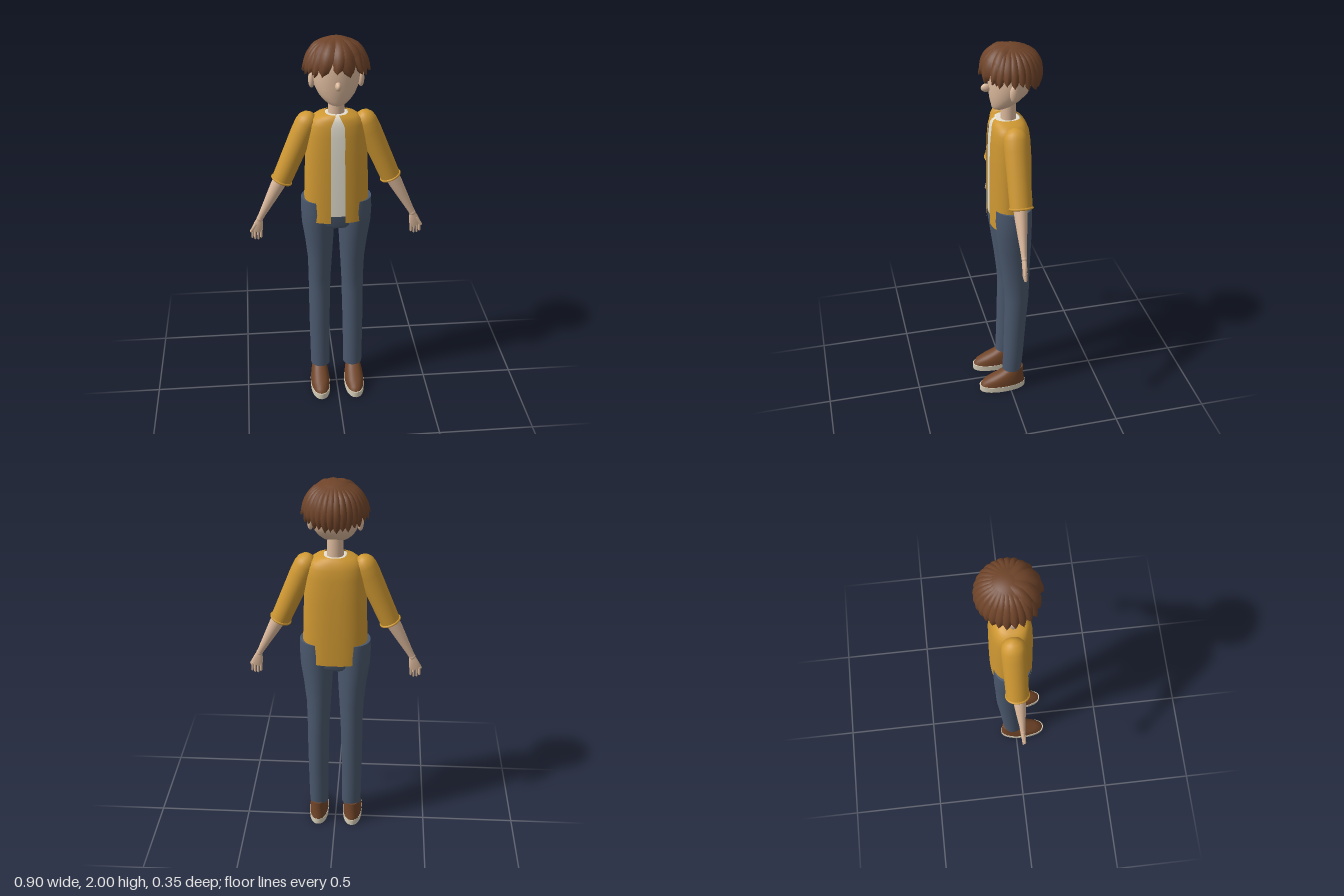
import * as THREE from 'three';

const mat = (name, color, side = THREE.FrontSide) => {
  const m = new THREE.MeshStandardMaterial({ color, side });
  m.name = name;
  return m;
};

// Skin over stacked oval rings [y, rx, centreZ, rz, centreX, halfGap]; a halfGap leaves the front open
function loft(rings, { seg = 32, pow = 2, open = false, capLow = true, capHigh = true } = {}) {
  const pos = [], idx = [], cols = open ? seg + 1 : seg;
  const bend = (v) => Math.sign(v) * Math.abs(v) ** (2 / pow);
  const point = (r, j) => {
    const [y, rx, cz, rz, cx = 0, gap = 0] = r;
    const a0 = open ? Math.asin((gap / rx) ** (pow / 2)) : 0;
    const a = a0 + (j / seg) * (Math.PI * 2 - 2 * a0);
    return [cx + rx * bend(Math.sin(a)), y, cz + rz * bend(Math.cos(a))];
  };
  rings.forEach((r) => { for (let j = 0; j < cols; j++) pos.push(...point(r, j)); });
  for (let i = 0; i < rings.length - 1; i++) for (let j = 0; j < seg; j++) {
    const k = (j + 1) % cols, a = i * cols + j, b = i * cols + k, c = a + cols, d = b + cols;
    idx.push(a, b, d, a, d, c);
  }
  const cap = (r, up) => {
    const m = pos.length / 3;
    pos.push(r[4] || 0, r[0], r[2]);
    for (let j = 0; j < seg; j++) pos.push(...point(r, j));
    for (let j = 0; j < seg; j++) {
      const a = m + 1 + j, b = m + 1 + (j + 1) % seg;
      idx.push(m, up ? a : b, up ? b : a);
    }
  };
  if (!open && capLow) cap(rings[0], false);
  if (!open && capHigh) cap(rings[rings.length - 1], true);
  const g = new THREE.BufferGeometry();
  g.setAttribute('position', new THREE.Float32BufferAttribute(pos, 3));
  g.setIndex(idx);
  g.computeVertexNormals();
  return g;
}

// Hair lock: a ridged strip that follows the skull from the crown and ends in a point
function lock(az, { start = 0.2, end = 1.8, width = 0.04, lift = 0.008, flare = 0, sweep = 0 }) {
  const N = 12, M = 4, pos = [], idx = [];
  for (let i = 0; i <= N; i++) {
    const t = i / N, p = start + (end - start) * t, a = az + sweep * t * t;
    const w = width * Math.min(1, 0.45 + t) * Math.sqrt(Math.max(0, 1 - t ** 4));
    for (let j = 0; j <= M; j++) {
      const u = (j / M) * 2 - 1;
      const out = lift * (1 - u * u) * Math.min(1, t * 4) + flare * t * t;
      const r = Math.sin(p) * 0.134 + out * Math.min(1, Math.sin(p) + 0.2);
      pos.push(Math.sin(a) * r + Math.cos(a) * u * w, 1.864 + Math.cos(p) * (0.13 + out * 0.6),
        -0.028 + Math.cos(a) * r * 1.04 - Math.sin(a) * u * w);
    }
  }
  for (let i = 0; i < N; i++) for (let j = 0; j < M; j++) {
    const a = i * (M + 1) + j, b = a + 1, c = a + M + 1, d = c + 1;
    idx.push(a, c, d, a, d, b);
  }
  const g = new THREE.BufferGeometry();
  g.setAttribute('position', new THREE.Float32BufferAttribute(pos, 3));
  g.setIndex(idx);
  g.computeVertexNormals();
  return g;
}

export function createModel() {
  const root = new THREE.Group();
  root.name = 'standingFigure';
  const skin = mat('skin', 0xdcb99c);
  const hair = mat('brown hair', 0x6e4329, THREE.DoubleSide);
  const gold = mat('gold jacket', 0xcf9832, THREE.DoubleSide);
  const ivory = mat('ivory shirt', 0xe4dfd0);
  const denim = mat('blue trousers', 0x4a586d);
  const leather = mat('brown leather', 0x704428);
  const rubber = mat('pale sole', 0xd8cfba);

  const add = (parent, name, geo, material, p = [0, 0, 0]) => {
    const m = new THREE.Mesh(geo, material);
    m.name = name;
    m.position.set(...p);
    parent.add(m);
    return m;
  };
  const ball = (parent, name, material, p, s) =>
    add(parent, name, new THREE.SphereGeometry(1, 24, 16), material, p).scale.set(...s);
  const group = (name) => {
    const g = new THREE.Group();
    g.name = name;
    root.add(g);
    return g;
  };
  // Tapered limb between two points; rings are [fraction, radiusX, radiusZ]
  const limb = (parent, name, material, a, b, rings, opt) => {
    const A = new THREE.Vector3(...a), D = new THREE.Vector3(...b).sub(A), L = D.length();
    const m = add(parent, name, loft(rings.map(([f, rx, rz]) => [f * L, rx, 0, rz]), { seg: 24, ...opt }), material, a);
    m.quaternion.setFromUnitVectors(new THREE.Vector3(0, 1, 0), D.normalize());
    return m;
  };

  // Head, neck and face
  const head = group('head');
  add(head, 'skull', loft([
    [1.676, 0.022, 0.04, 0.02], [1.683, 0.042, 0.033, 0.033], [1.70, 0.066, 0.017, 0.052],
    [1.725, 0.088, 0.002, 0.073], [1.76, 0.106, -0.015, 0.094], [1.80, 0.115, -0.023, 0.104],
    [1.85, 0.117, -0.025, 0.106], [1.90, 0.108, -0.025, 0.1], [1.94, 0.08, -0.025, 0.08], [1.965, 0.03, -0.025, 0.03],
  ]), skin);
  add(head, 'neck', loft([[1.58, 0.042, -0.016, 0.039], [1.76, 0.038, -0.016, 0.037]]), skin);
  ball(head, 'nose', skin, [0, 1.785, 0.092], [0.015, 0.021, 0.026]);
  for (const s of [-1, 1]) ball(head, 'ear', skin, [s * 0.12, 1.79, -0.016], [0.016, 0.043, 0.021]);

  // Hair: cap tilted back, rows of locks and a swept fringe
  const hairGroup = group('hair');
  const cap = add(hairGroup, 'hairCap', new THREE.SphereGeometry(1, 40, 20, 0, Math.PI * 2, 0, 1.62), hair, [0, 1.864, -0.028]);
  cap.scale.set(0.132, 0.131, 0.138);
  cap.rotation.x = -0.3;
  const count = 22;
  for (let i = 0; i < count; i++) {
    const az = 0.8 + (i / (count - 1)) * (Math.PI * 2 - 1.6);
    const back = Math.max(0, -Math.cos(az)), side = Math.abs(Math.sin(az));
    add(hairGroup, 'hairLock', lock(az, {
      start: 0.45, end: 1.72 + 0.42 * back + (i % 2) * 0.09, width: 0.025,
      lift: 0.012, flare: 0.02 * side * (1 - back) + 0.003,
    }), hair);
  }
  [[-0.85, 1.78, 0.036, -0.1], [-0.45, 1.78, 0.045, -0.1], [0.2, 1.66, 0.04, -0.25], [0.3, 1.8, 0.046, 0.1], [0.8, 1.78, 0.038, 0.1]]
    .forEach(([az, end, width, sweep]) =>
      add(hairGroup, 'fringeLock', lock(az, { start: 0.12, end, width, lift: 0.017, sweep }), hair));

  // Jacket open at the front, over a shirt
  const torso = group('torso');
  const body = [
    [1.055, 0.163, -0.018, 0.108, 0, 0.037], [1.17, 0.164, -0.018, 0.108, 0, 0.036], [1.4, 0.156, -0.018, 0.106, 0, 0.035],
    [1.52, 0.146, -0.017, 0.1, 0, 0.035], [1.57, 0.137, -0.016, 0.094, 0, 0.034], [1.598, 0.121, -0.014, 0.085, 0, 0.022],
    [1.615, 0.096, -0.012, 0.075, 0, 0.013], [1.625, 0.056, -0.012, 0.063, 0, 0.008],
  ];
  add(torso, 'jacket', loft(body, { seg: 64, pow: 2.5, open: true }), gold);
  const inner = body.map(([y, rx, cz, rz]) => [y - 0.004, rx - 0.007, cz, rz - 0.007]);
  inner[0][0] = 1.09;
  add(torso, 'shirt', loft(inner, { seg: 48, pow: 2.5 }), ivory);

  // Trousers
  const trousers = group('trousers');
  add(trousers, 'hips', loft([[1.01, 0.1, -0.02, 0.075], [1.03, 0.13, -0.02, 0.088], [1.1, 0.15, -0.02, 0.095]], { pow: 2.4 }), denim);
  for (const s of [-1, 1]) {
    add(trousers, 'trouserLeg', loft([
      [0.128, 0.052, -0.016, 0.053, s * 0.09], [0.25, 0.053, -0.024, 0.055, s * 0.091], [0.4, 0.055, -0.031, 0.058, s * 0.091],
      [0.6, 0.058, -0.041, 0.064, s * 0.089], [0.68, 0.059, -0.04, 0.068, s * 0.088], [0.8, 0.064, -0.034, 0.076, s * 0.086],
      [0.92, 0.074, -0.028, 0.086, s * 0.089], [1.02, 0.084, -0.022, 0.093, s * 0.094], [1.1, 0.086, -0.02, 0.095, s * 0.096],
      [1.165, 0.081, -0.02, 0.093, s * 0.099],
    ]), denim);

    // Shoe: pale sole under a sloping upper
    const shoe = group(s > 0 ? 'leftShoe' : 'rightShoe');
    shoe.position.x = s * 0.095;
    add(shoe, 'sole', loft([[0, 0.053, 0.04, 0.129], [0.034, 0.054, 0.04, 0.13]], { pow: 2.2 }), rubber);
    add(shoe, 'upper', loft([
      [0.034, 0.052, 0.038, 0.126], [0.055, 0.051, 0.034, 0.118], [0.075, 0.048, 0.019, 0.1],
      [0.1, 0.042, -0.007, 0.072], [0.125, 0.037, -0.028, 0.05], [0.136, 0.035, -0.034, 0.044],
    ], { pow: 2.2 }), leather);

    // Arm: sleeve with rolled cuff, forearm and hand
    const arm = group(s > 0 ? 'leftArm' : 'rightArm');
    const elbow = [s * 0.278, 1.262, -0.014], shoulder = [s * 0.147, 1.568, -0.018];
    const sleeve = limb(arm, 'sleeve', gold, elbow, shoulder, [
      [0, 0.051, 0.056], [0.5, 0.055, 0.058], [0.85, 0.058, 0.061], [1, 0.056, 0.06],
      [1.08, 0.049, 0.053], [1.14, 0.033, 0.037], [1.17, 0.012, 0.014], [1.172, 0.001, 0.001],
    ], { capLow: false });
    const cuff = add(sleeve, 'cuff', new THREE.TorusGeometry(0.051, 0.006, 8, 32), gold, [0, 0.004, 0]);
    cuff.rotation.x = Math.PI / 2;
    cuff.scale.y = 1.08;
    const wrist = [s * 0.396, 1.055, 0];
    limb(arm, 'forearm', skin, wrist, [s * 0.272, 1.29, -0.008],
      [[0, 0.016, 0.013], [0.12, 0.018, 0.015], [0.45, 0.027, 0.024], [0.75, 0.035, 0.031], [1, 0.038, 0.035]]);
    ball(arm, 'wrist', skin, wrist, [0.017, 0.018, 0.014]);
    limb(arm, 'palm', skin, [s * 0.414, 0.982, 0], [s * 0.396, 1.055, 0],
      [[0, 0.027, 0.008], [0.3, 0.029, 0.011], [0.7, 0.023, 0.012], [1, 0.015, 0.011]]);
    [[0.39, 0.95], [0.405, 0.941], [0.421, 0.943], [0.435, 0.952]].forEach(([x, y]) =>
      limb(arm, 'finger', skin, [s * (x + 0.002), y - 0.006, 0], [s * x, 0.995, 0],
        [[0, 0.002, 0.002], [0.1, 0.006, 0.006], [1, 0.0075, 0.0075]], { seg: 10 }));
    limb(arm, 'thumb', skin, [s * 0.446, 0.982, 0.006], [s * 0.416, 1.03, 0.003],
      [[0, 0.002, 0.002], [0.12, 0.007, 0.007], [1, 0.01, 0.009]], { seg: 10 });
  }
  return root;
}
